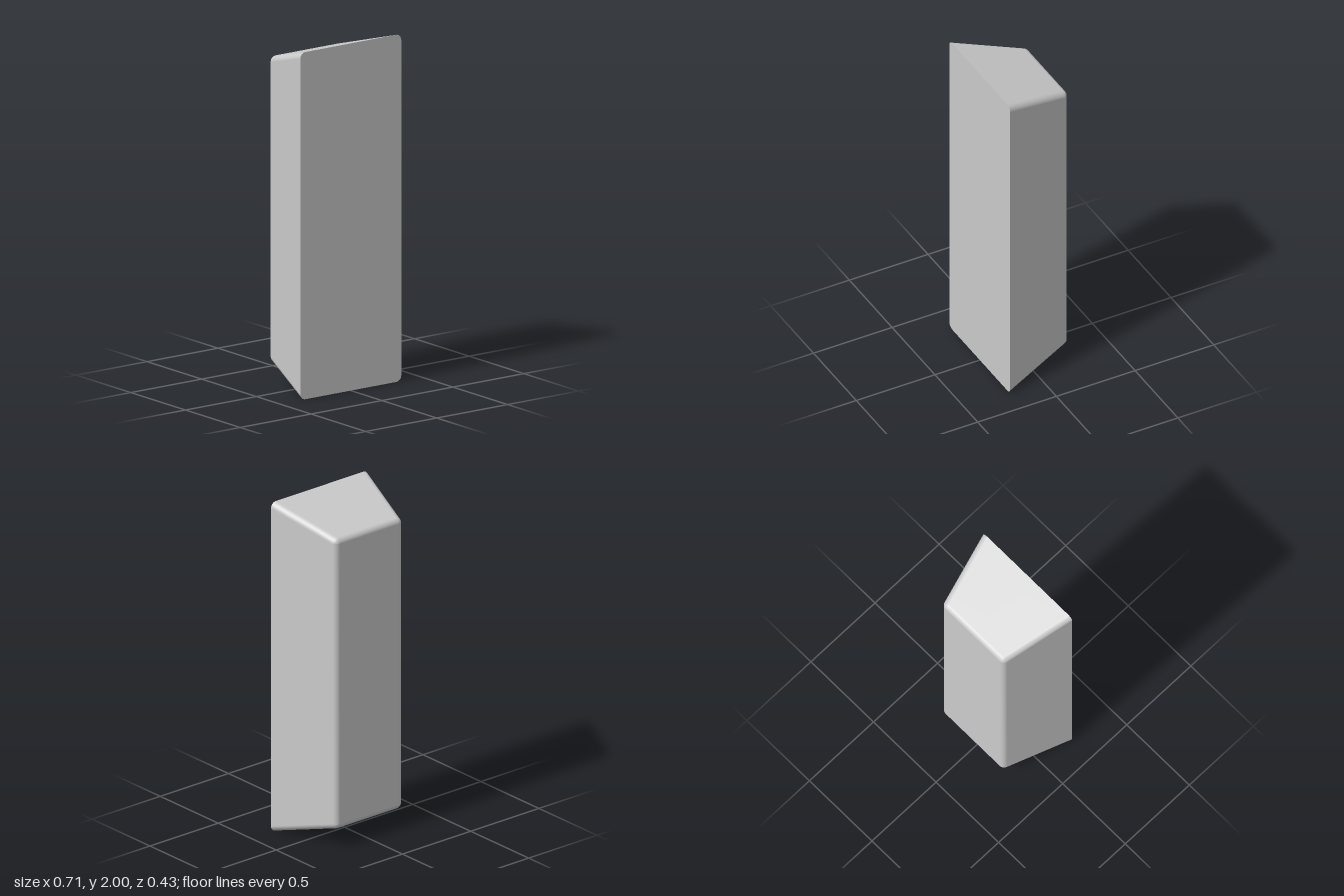
import * as THREE from 'three';

const material = new THREE.MeshStandardMaterial({ color: 0xcccccc });
const CORNER = 0.035; // radius of the four long corners
const EDGE = 0.035;   // radius of the rounded back edge
const STEPS = 6;

// Rounded rectangle outline around y = 1, counter-clockwise seen from the front
function outline(halfW, halfH, r) {
  const points = [];
  [[1, 1], [-1, 1], [-1, -1], [1, -1]].forEach(([sx, sy], q) => {
    for (let k = 0; k <= STEPS; k++) {
      const a = (q + k / STEPS) * Math.PI / 2;
      points.push(new THREE.Vector2(
        sx * (halfW - r) + r * Math.cos(a),
        1 + sy * (halfH - r) + r * Math.sin(a)));
    }
  });
  return points;
}

// Cross-sections from the wide front to the narrow, rounded back
function sections() {
  const list = [];
  for (let i = 0; i <= 4; i++) {
    const t = i / 4;
    list.push({
      z: THREE.MathUtils.lerp(0.215, -0.189, t),
      w: THREE.MathUtils.lerp(0.356, 0.25, t),
      h: THREE.MathUtils.lerp(1, 0.884, t),
      r: CORNER
    });
  }
  const last = list[4], a0 = THREE.MathUtils.degToRad(15);
  for (let i = 1; i <= 8; i++) {
    const a = THREE.MathUtils.lerp(a0, Math.PI / 2, i / 8);
    const inset = EDGE * (Math.cos(a0) - Math.cos(a));
    list.push({
      z: last.z - EDGE * (Math.sin(a) - Math.sin(a0)),
      w: last.w - inset,
      h: last.h - inset,
      r: Math.max(CORNER - inset, 0.003)
    });
  }
  return list;
}

// Tapered sides and flat back as one smooth skin
function bodyGeometry(list) {
  const positions = [], index = [];
  const n = 4 * (STEPS + 1);
  list.forEach(({ z, w, h, r }) =>
    outline(w, h, r).forEach(p => positions.push(p.x, p.y, z)));
  for (let i = 0; i < list.length - 1; i++) {
    for (let j = 0; j < n; j++) {
      const a = i * n + j, b = i * n + (j + 1) % n;
      index.push(a, a + n, b, b, a + n, b + n);
    }
  }
  const start = (list.length - 1) * n, centre = list.length * n;
  positions.push(0, 1, list[list.length - 1].z);
  for (let j = 0; j < n; j++) index.push(centre, start + (j + 1) % n, start + j);

  const geometry = new THREE.BufferGeometry();
  geometry.setAttribute('position', new THREE.Float32BufferAttribute(positions, 3));
  geometry.setIndex(index);
  geometry.computeVertexNormals();
  return geometry;
}

export function createModel() {
  const group = new THREE.Group();
  group.name = 'taperedBlock';
  const list = sections();

  const body = new THREE.Mesh(bodyGeometry(list), material);
  body.name = 'body';

  // Flat front, sharp against the sides
  const { w, h, r, z } = list[0];
  const front = new THREE.Mesh(new THREE.ShapeGeometry(new THREE.Shape(outline(w, h, r))), material);
  front.name = 'frontFace';
  front.position.z = z;

  group.add(body, front);
  return group;
}
